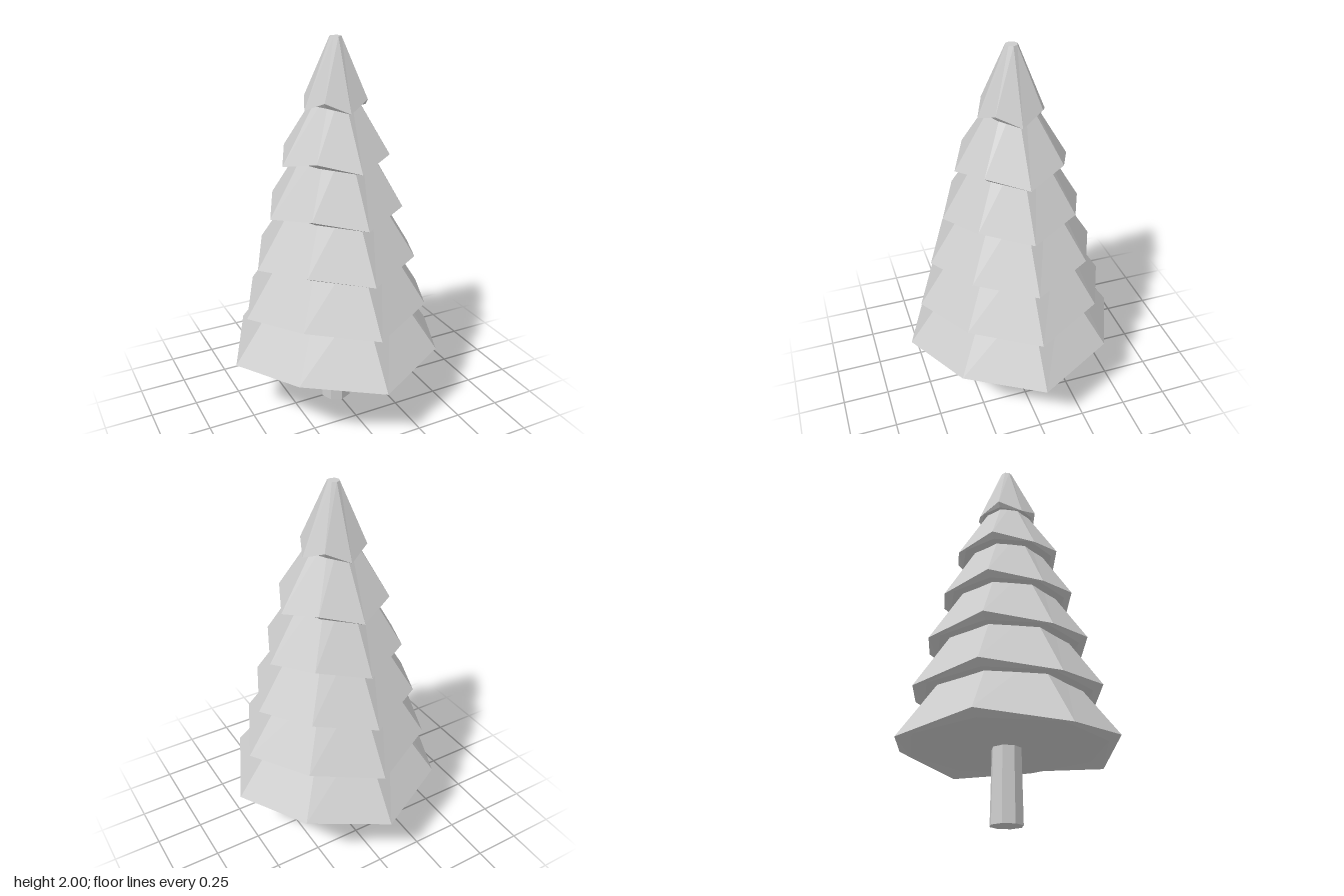
import * as THREE from 'three';

const SIDES = 8;

// Rim radius and height at the low corners, rim radius at the raised corners, top radius and height
const TIERS = [
  { low: 0.583, high: 0.562, y: 0.345, top: 0.30, topY: 0.75 },
  { low: 0.510, high: 0.490, y: 0.605, top: 0.25, topY: 1.01 },
  { low: 0.440, high: 0.424, y: 0.867, top: 0.19, topY: 1.27 },
  { low: 0.363, high: 0.352, y: 1.131, top: 0.13, topY: 1.53 },
  { low: 0.290, high: 0.279, y: 1.394, top: 0.07, topY: 1.77 },
  { low: 0.168, high: 0.163, y: 1.658, top: 0.03, topY: 2.00 },
];
const RIM_RISE = 0.052;

// A closed skirt: top cap, sloping side, zigzag rim, and an inset flat underside
function tierGeometry({ low, high, y, top, topY }) {
  const geo = new THREE.CylinderGeometry(1, 1, 1, SIDES, 2);
  const p = geo.attributes.position;
  for (let i = 0; i < p.count; i++) {
    const x = p.getX(i), z = p.getZ(i), row = p.getY(i);
    const raised = Math.abs(x * z) > 0.1;
    let r, h;
    if (row > 0.25) {
      r = top;
      h = topY;
    } else if (row > -0.25) {
      r = raised ? high : low;
      h = raised ? y + RIM_RISE : y;
    } else {
      r = low * 0.86;
      h = y + RIM_RISE / 2;
    }
    p.setXYZ(i, x * r, h, z * r);
  }
  const flat = geo.toNonIndexed();
  flat.computeVertexNormals();
  return flat;
}

export function createModel() {
  const model = new THREE.Group();
  model.name = 'pineTree';
  const material = new THREE.MeshStandardMaterial({ color: 0xcccccc, flatShading: true });

  // Trunk, slightly tapered
  const trunkHeight = 0.375;
  const trunk = new THREE.Mesh(
    new THREE.CylinderGeometry(0.075, 0.083, trunkHeight, SIDES), material);
  trunk.position.y = trunkHeight / 2;
  trunk.name = 'trunk';
  model.add(trunk);

  // Stacked branch tiers
  TIERS.forEach((tier, i) => {
    const mesh = new THREE.Mesh(tierGeometry(tier), material);
    mesh.name = `branchTier${i + 1}`;
    model.add(mesh);
  });

  return model;
}
